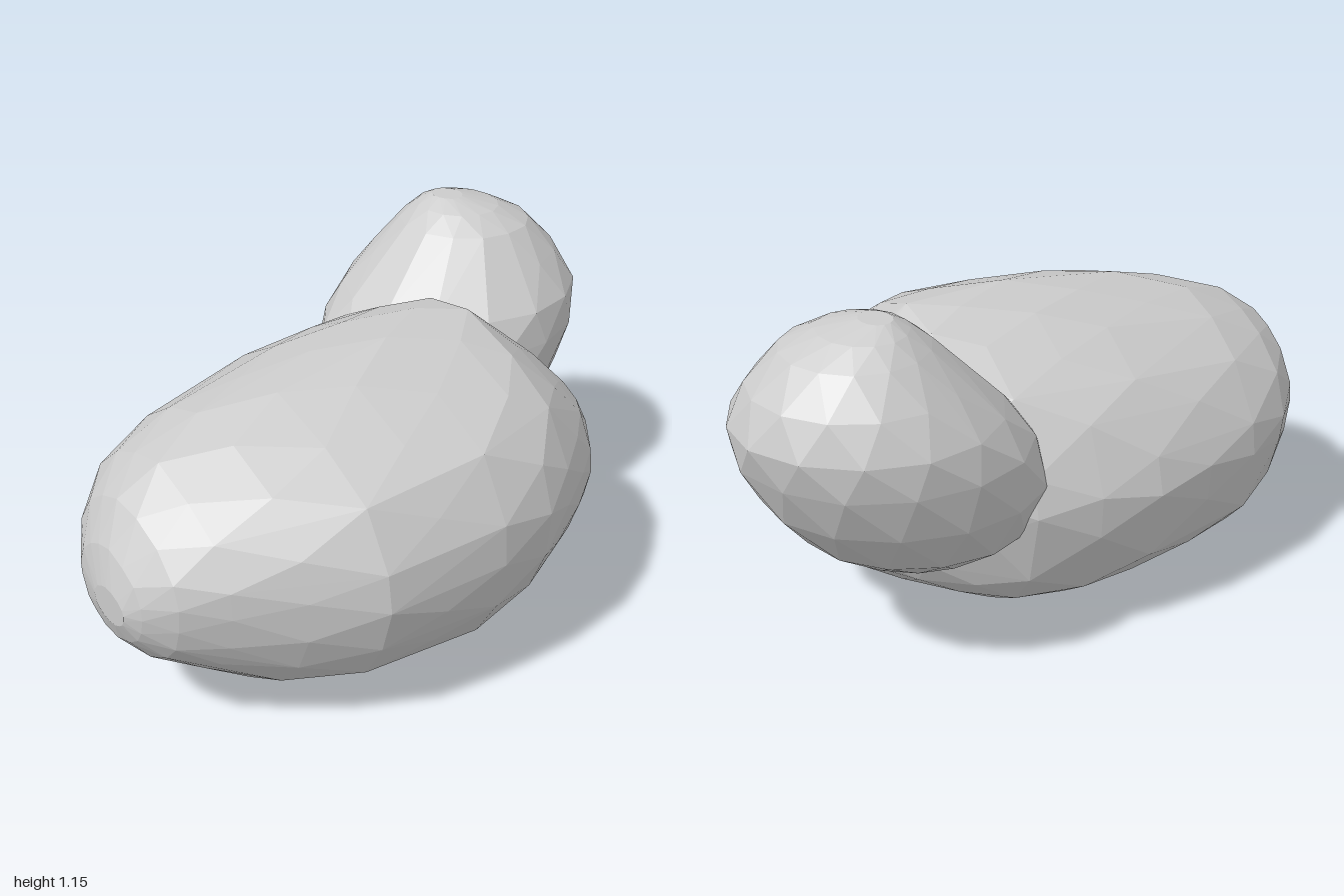
import * as THREE from 'three';
import { ConvexGeometry } from 'three/addons/geometries/ConvexGeometry.js';

// Small repeatable irregularity in the range -1..1
const wobble = (i, j) => {
  const s = Math.sin(i * 127.1 + j * 311.7) * 43758.5453;
  return (s - Math.floor(s)) * 2 - 1;
};

// Rounded outline, normalised to a -1..1 box, used for every slice of the large lobe
const outline = new THREE.CatmullRomCurve3([
  [-0.11, -1], [0.32, -0.94], [0.65, -0.75], [0.85, -0.53], [0.96, -0.27], [1, 0.05],
  [0.97, 0.28], [0.76, 0.64], [0.44, 0.84], [0.06, 1], [-0.27, 0.94], [-0.53, 0.8],
  [-0.81, 0.56], [-0.99, 0.14], [-0.99, -0.03], [-0.87, -0.54], [-0.71, -0.71], [-0.44, -0.89],
].map(([x, y]) => new THREE.Vector3(x, y, 0)), true);

// Slightly slanted circle for the slices of the small lobe
const slantedOutline = (t) => {
  const a = t * Math.PI * 2;
  return { x: Math.cos(a), y: Math.sin(a) - 0.07 * Math.cos(a) };
};

// Wrap faceted rock around staggered slices: [level, minU, maxU, minV, maxV]
function rockLobe(name, slices, sides, shape, place, material) {
  const points = [];
  slices.forEach(([level, u0, u1, v0, v1], i) => {
    for (let j = 0; j < sides; j++) {
      const p = shape(((j + (i % 2) * 0.5) / sides) % 1);
      const r = 1.005 + 0.012 * wobble(i, j);
      const u = (u0 + u1) / 2 + (p.x * r * (u1 - u0)) / 2;
      const v = (v0 + v1) / 2 + (p.y * r * (v1 - v0)) / 2;
      points.push(place(u, v, level));
    }
  });
  const mesh = new THREE.Mesh(new ConvexGeometry(points), material);
  mesh.name = name;
  return mesh;
}

export function createModel() {
  const group = new THREE.Group();
  group.name = 'twoLobedRock';
  const material = new THREE.MeshStandardMaterial({ color: 0xcccccc, flatShading: true });

  // Large lobe, sliced from front to back: z, x range, y range
  group.add(rockLobe('largeLobe', [
    [1.0, 0.07, 0.23, 0.42, 0.53],
    [0.97, -0.06, 0.28, 0.34, 0.63],
    [0.9, -0.18, 0.36, 0.26, 0.74],
    [0.78, -0.31, 0.44, 0.18, 0.82],
    [0.6, -0.42, 0.55, 0.07, 0.89],
    [0.4, -0.48, 0.65, 0.035, 0.93],
    [0.2, -0.53, 0.66, 0.02, 0.965],
    [0.0, -0.54, 0.675, 0.0, 0.985],
    [-0.2, -0.52, 0.63, 0.025, 0.985],
    [-0.33, -0.46, 0.57, 0.075, 0.975],
    [-0.46, -0.36, 0.5, 0.13, 0.87],
    [-0.58, -0.22, 0.41, 0.19, 0.76],
    [-0.69, -0.07, 0.28, 0.3, 0.65],
    [-0.76, 0.04, 0.15, 0.43, 0.55],
  ], 17, (t) => outline.getPoint(t), (u, v, z) => new THREE.Vector3(u, Math.max(v, 0), z), material));

  // Small lobe, sliced from bottom to top: y, x range, z range
  group.add(rockLobe('smallLobe', [
    [0.36, -0.42, 0.02, -0.67, -0.2],
    [0.45, -0.54, 0.06, -0.79, -0.11],
    [0.6, -0.63, 0.08, -0.91, -0.09],
    [0.75, -0.67, 0.08, -0.98, -0.15],
    [0.86, -0.665, 0.05, -1.0, -0.24],
    [0.97, -0.61, -0.04, -0.95, -0.36],
    [1.07, -0.53, -0.12, -0.86, -0.45],
    [1.12, -0.47, -0.2, -0.76, -0.51],
    [1.15, -0.41, -0.3, -0.65, -0.56],
  ], 14, slantedOutline, (u, v, y) => new THREE.Vector3(u, y, Math.max(v, -1)), material));

  return group;
}
